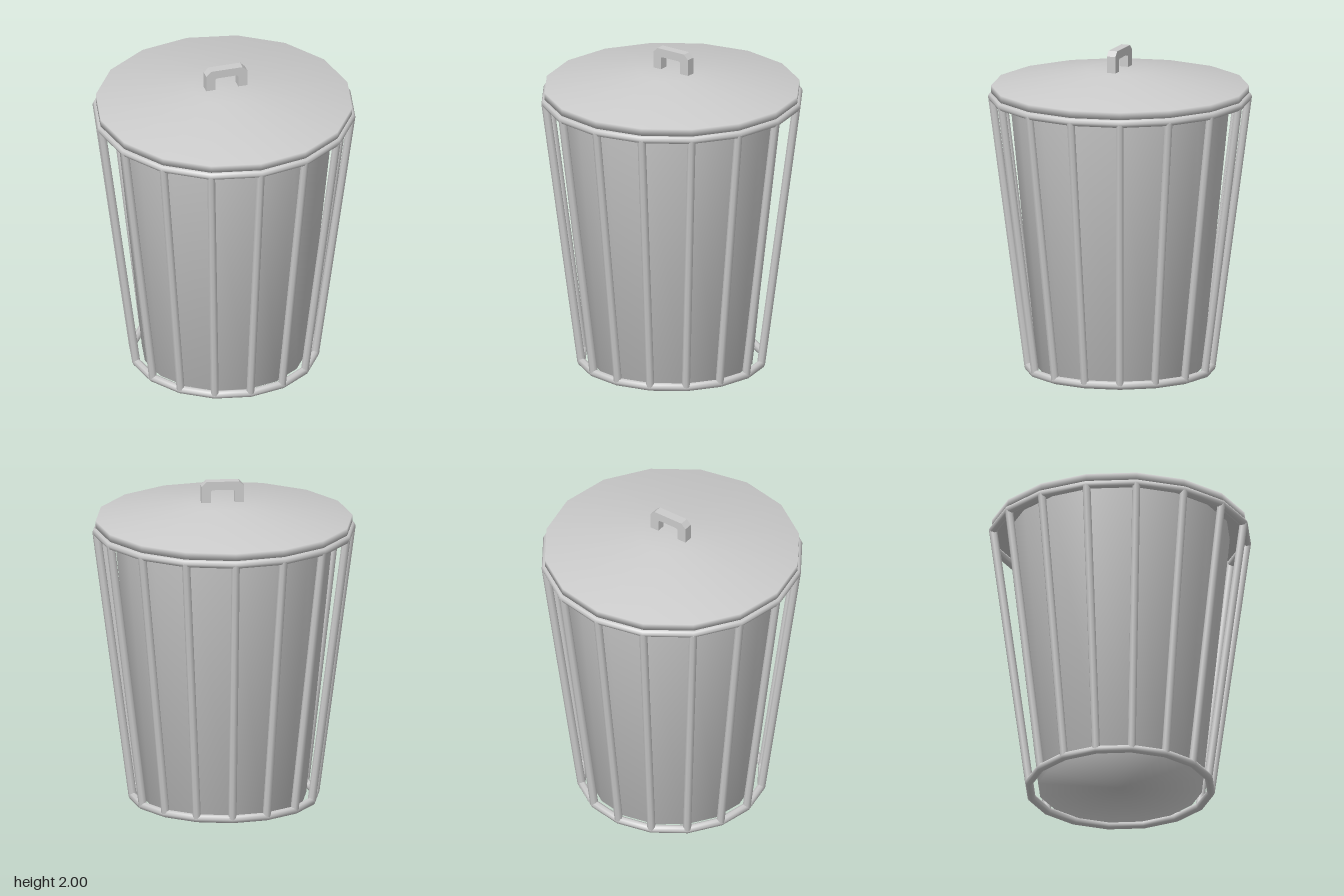
import * as THREE from 'three';

const SIDES = 16;
const TUBE = 0.025;

export function createModel() {
  const model = new THREE.Group();
  const material = new THREE.MeshStandardMaterial({ color: 0xcccccc, side: THREE.DoubleSide });

  const add = (name, geometry, parent = model) => {
    const mesh = new THREE.Mesh(geometry, material);
    mesh.name = name;
    parent.add(mesh);
    return mesh;
  };
  const lathe = (profile) =>
    new THREE.LatheGeometry(profile.map(([r, y]) => new THREE.Vector2(r, y)), SIDES);

  // Tapered inner bin with a floor
  add('innerBin', lathe([[0, 0.02], [0.5, 0.02], [0.67, 1.72]]));

  // Shallow lid with a short upright rim
  add('lid', lathe([[0, 1.72], [0.78, 1.72], [0.78, 1.765], [0.2, 1.868], [0, 1.87]]));

  // Outer cage: two rings joined by slanted bars
  const cage = new THREE.Group();
  cage.name = 'cage';
  model.add(cage);
  const bottom = { r: 0.555, y: TUBE };
  const top = { r: 0.775, y: 1.695 };
  for (const [name, ring] of [['bottomRing', bottom], ['topRing', top]]) {
    const mesh = add(name, new THREE.TorusGeometry(ring.r, TUBE, 8, SIDES), cage);
    mesh.rotation.x = Math.PI / 2;
    mesh.position.y = ring.y;
  }
  const up = new THREE.Vector3(0, 1, 0);
  for (let i = 0; i < SIDES; i++) {
    const a = (i / SIDES) * Math.PI * 2;
    const at = ({ r, y }) => new THREE.Vector3(r * Math.sin(a), y, r * Math.cos(a));
    const from = at(bottom), to = at(top);
    const along = to.clone().sub(from);
    const bar = add('cageBar', new THREE.CylinderGeometry(TUBE, TUBE, along.length(), 8), cage);
    bar.position.copy(from).lerp(to, 0.5);
    bar.quaternion.setFromUnitVectors(up, along.normalize());
  }

  // Square-section lid handle with clipped corners
  const outline = [
    [-0.13, 1.86], [-0.13, 1.97], [-0.1, 2], [0.1, 2], [0.13, 1.97], [0.13, 1.86],
    [0.072, 1.86], [0.072, 1.94], [0.062, 1.948], [-0.062, 1.948], [-0.072, 1.94], [-0.072, 1.86],
  ];
  const shape = new THREE.Shape(outline.map(([x, y]) => new THREE.Vector2(x, y)));
  const handle = add('handle', new THREE.ExtrudeGeometry(shape, { depth: 0.056, bevelEnabled: false }));
  handle.position.set(0.01, 0, -0.028);

  return model;
}
